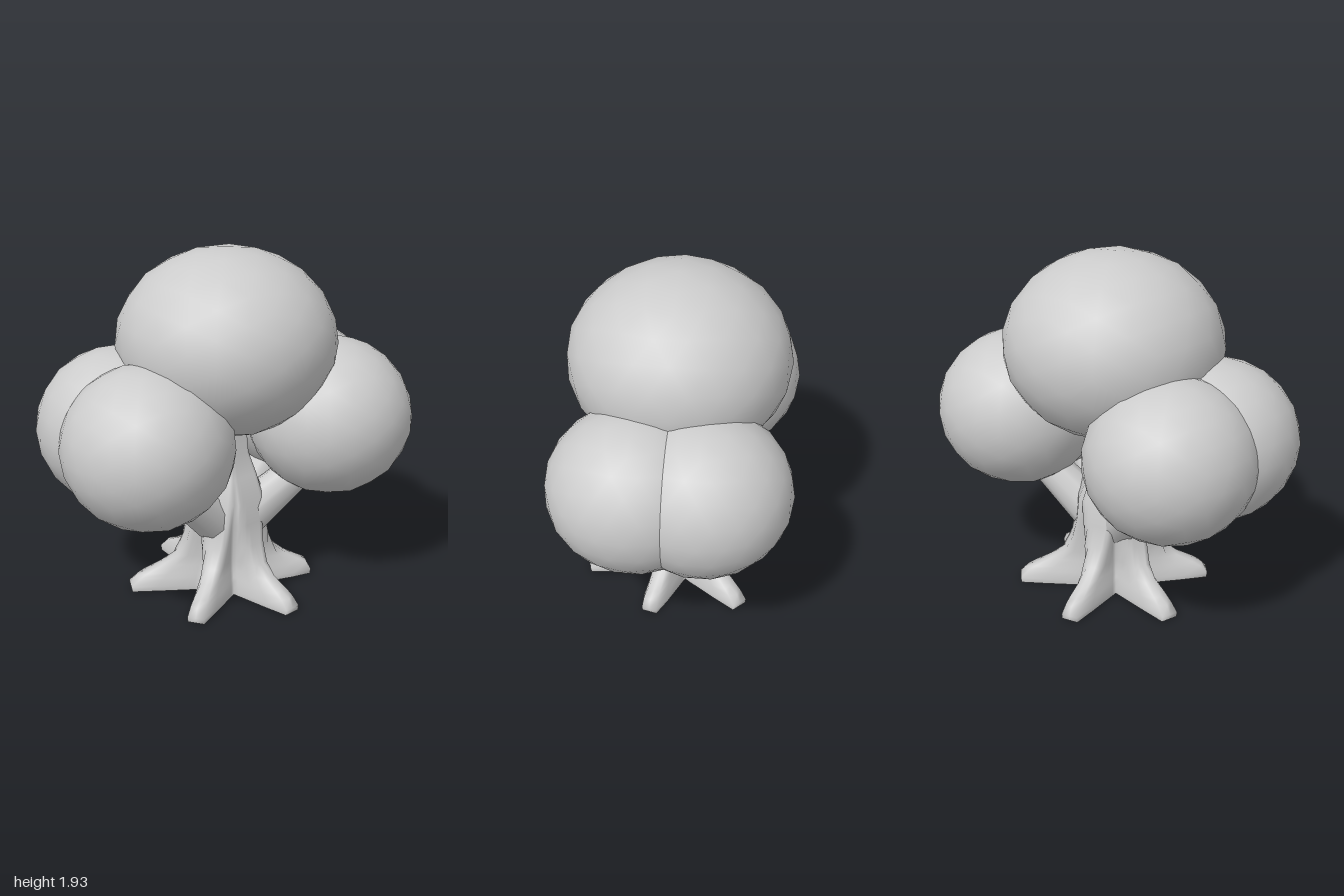
import * as THREE from 'three';

const bark = new THREE.MeshStandardMaterial({ color: 0xcccccc });
bark.name = 'pale grey';

// Root directions (degrees from +x towards +z) are 60 apart; lengths vary a little
const FIRST_ROOT = -45;
const ROOT_LENGTHS = [1, 0.88, 1, 1, 1.05, 1];
const STEPS = 12; // segments per root

// Trunk levels: height, valley radius, ridge reach, ridge half width at axis, at tip
const LEVELS = [
  [0.0, 0.15, 0.53, 0.12, 0.05],
  [0.03, 0.15, 0.535, 0.12, 0.055],
  [0.075, 0.155, 0.51, 0.12, 0.04],
  [0.1, 0.16, 0.45, 0.12, 0.04],
  [0.145, 0.165, 0.36, 0.12, 0.04],
  [0.2, 0.17, 0.28, 0.12, 0.05],
  [0.3, 0.18, 0.235, 0.12, 0.07],
  [0.42, 0.18, 0.21, 0.12, 0.09],
  [0.55, 0.175, 0.2, 0.12, 0.1],
  [0.68, 0.14, 0.15, 0.12, 0.1],
  [0.8, 0.105, 0.11, 0.1, 0.09],
  [1.05, 0.09, 0.09, 0.09, 0.09],
];

function trunkRadius([, valley, reach, w0, w1], root, offset) {
  const tip = valley + (reach - valley) * ROOT_LENGTHS[root];
  const s = Math.abs(Math.sin(offset)), c = Math.cos(offset);
  const side = w0 / (s + ((w0 - w1) / tip) * c + 1e-6);
  return Math.max(valley, Math.min(tip / c, side));
}

// Star-shaped cross-sections stacked into a fluted trunk with flared roots
function trunkGeometry() {
  const n = 6 * STEPS, pos = [], index = [];
  const addRing = (level) => {
    for (let j = 0; j < n; j++) {
      const root = Math.floor(j / STEPS);
      const offset = ((j % STEPS) / STEPS - 0.5) * (Math.PI / 3);
      const a = THREE.MathUtils.degToRad(FIRST_ROOT + root * 60) + offset;
      const r = trunkRadius(level, root, offset);
      pos.push(r * Math.cos(a), level[0], r * Math.sin(a));
    }
  };
  LEVELS.forEach(addRing);
  for (let i = 0; i < LEVELS.length - 1; i++) {
    for (let j = 0; j < n; j++) {
      const a = i * n + j, c = i * n + ((j + 1) % n);
      index.push(a, a + n, c, c, a + n, c + n);
    }
  }
  // Flat underside with its own vertices for a crisp edge
  const base = pos.length / 3;
  addRing(LEVELS[0]);
  pos.push(0, 0, 0);
  for (let j = 0; j < n; j++) index.push(base + n, base + j, base + ((j + 1) % n));
  const g = new THREE.BufferGeometry();
  g.setAttribute('position', new THREE.Float32BufferAttribute(pos, 3));
  g.setIndex(index);
  g.computeVertexNormals();
  return g;
}

// Tapered limb between two points
function limb(name, from, to, r0, r1) {
  const a = new THREE.Vector3(...from), b = new THREE.Vector3(...to);
  const dir = b.clone().sub(a);
  const m = new THREE.Mesh(new THREE.CylinderGeometry(r1, r0, dir.length(), 10), bark);
  m.position.copy(a).add(b).multiplyScalar(0.5);
  m.quaternion.setFromUnitVectors(new THREE.Vector3(0, 1, 0), dir.normalize());
  m.name = name;
  return m;
}

// Rounded leaf mass
function foliage(name, x, y, z, rx, ry, rz) {
  const m = new THREE.Mesh(new THREE.IcosahedronGeometry(1, 3), bark);
  m.position.set(x, y, z);
  m.scale.set(rx, ry, rz);
  m.name = name;
  return m;
}

export function createModel() {
  const tree = new THREE.Group();
  tree.name = 'tree';

  const trunk = new THREE.Mesh(trunkGeometry(), bark);
  trunk.name = 'trunk';
  tree.add(trunk);

  // Top crown, then four lower clumps, each on its own branch
  tree.add(foliage('topFoliage', 0, 1.425, 0, 0.595, 0.505, 0.595));
  for (const sx of [-1, 1]) {
    for (const sz of [-1, 1]) {
      const side = (sz > 0 ? 'front' : 'back') + (sx > 0 ? 'Left' : 'Right');
      tree.add(foliage(side + 'Foliage', sx * 0.545, 0.975, sz * 0.175, 0.455, 0.437, 0.465));
      tree.add(limb(side + 'Branch', [sx * 0.08, 0.4, sz * 0.05], [sx * 0.46, 0.76, sz * 0.2], 0.13, 0.085));
    }
  }
  return tree;
}
